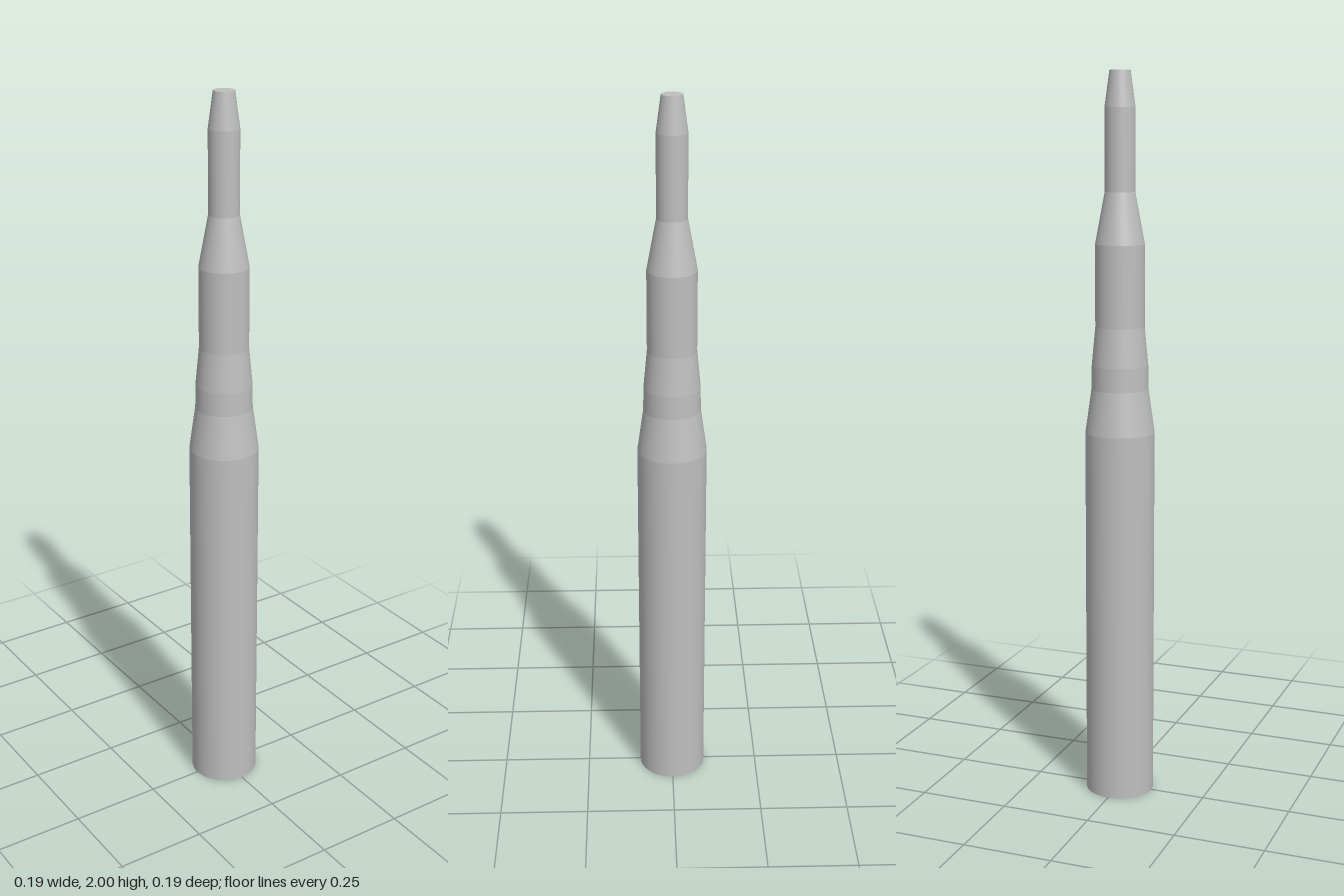
import * as THREE from 'three';

export function createModel() {
  const model = new THREE.Group();
  model.name = 'steppedShaft';
  const metal = new THREE.MeshStandardMaterial({ color: 0xbfbfbf });
  metal.name = 'plain grey';
  const SIDES = 48;

  // Each section: name, bottom height, top height, bottom radius, top radius
  const sections = [
    ['mainBody', 0, 1.035, 0.095, 0.095],
    ['lowerShoulder', 1.035, 1.155, 0.095, 0.078],
    ['collarBand', 1.155, 1.22, 0.078, 0.077],
    ['collarTaper', 1.22, 1.325, 0.077, 0.067],
    ['middleBody', 1.325, 1.547, 0.067, 0.067],
    ['upperShoulder', 1.547, 1.685, 0.067, 0.041],
    ['neck', 1.685, 1.905, 0.041, 0.041],
    ['tipTaper', 1.905, 2, 0.041, 0.028],
  ];
  for (const [name, y0, y1, r0, r1] of sections) {
    const geometry = new THREE.CylinderGeometry(r1, r0, y1 - y0, SIDES, 1, true);
    const mesh = new THREE.Mesh(geometry, metal);
    mesh.name = name;
    mesh.position.y = (y0 + y1) / 2;
    model.add(mesh);
  }

  // Flat end caps, facing outward
  for (const [name, y, r, turn] of [
    ['baseCap', 0, 0.095, Math.PI / 2],
    ['tipCap', 2, 0.028, -Math.PI / 2],
  ]) {
    const cap = new THREE.Mesh(new THREE.CircleGeometry(r, SIDES), metal);
    cap.name = name;
    cap.rotation.x = turn;
    cap.position.y = y;
    model.add(cap);
  }
  return model;
}
